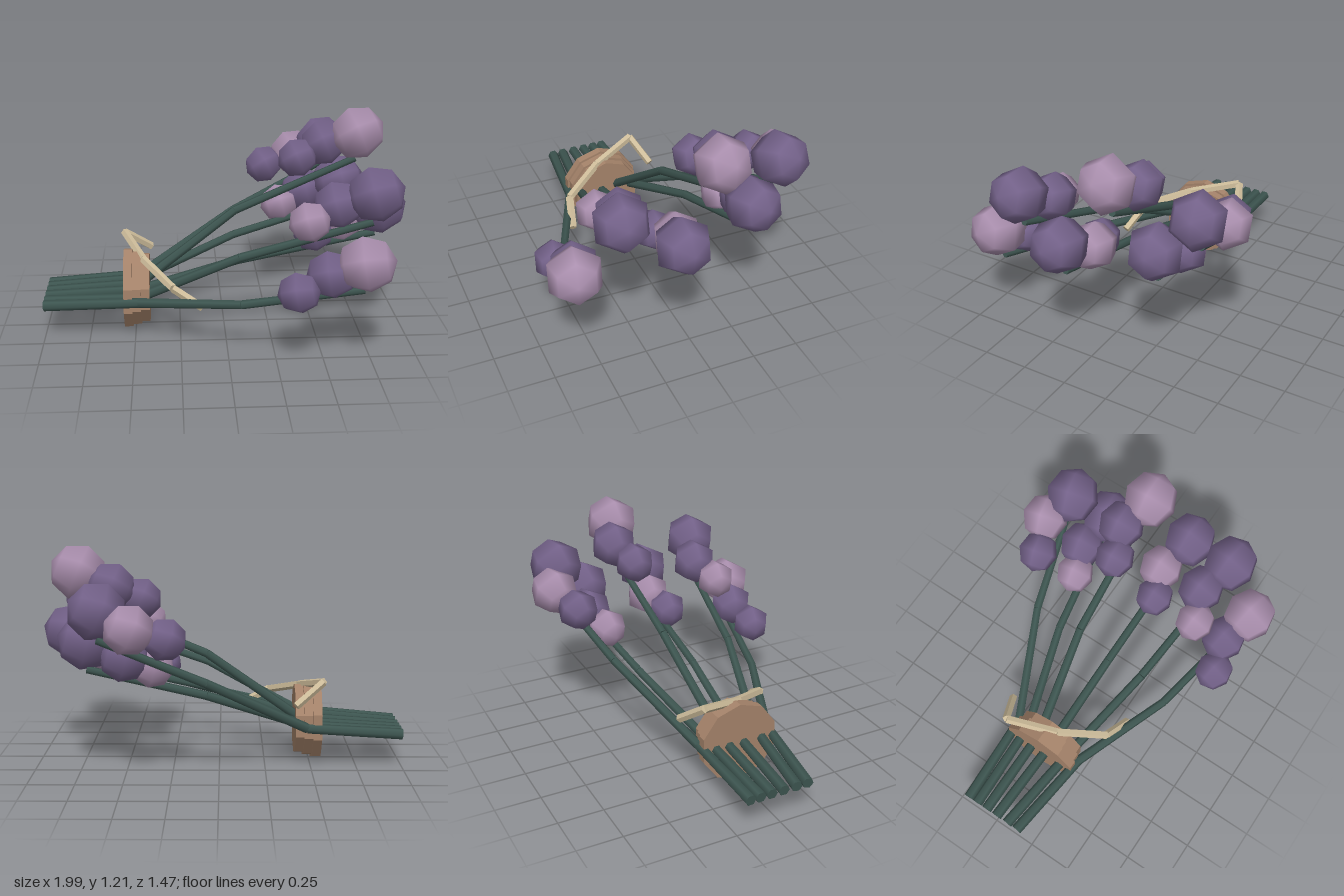
import * as THREE from 'three';

const mat = (name, color, flatShading = false) => {
  const m = new THREE.MeshStandardMaterial({ color, flatShading });
  m.name = name;
  return m;
};
const V = (p) => new THREE.Vector3(...p);

export function createModel() {
  const root = new THREE.Group();
  root.name = 'bouquet';
  const dark = mat('darkPurple', 0x74628a);
  const light = mat('lilac', 0xaa8fae);
  const green = mat('stemGreen', 0x3d5550);
  const brown = mat('wrapBrown', 0xa5836a, true);
  const cream = mat('ribbonCream', 0xcdbc9a, true);

  // Chain of tapering rods through a list of points
  function rods(name, points, r0, r1, sides, material) {
    const group = new THREE.Group();
    group.name = name;
    const n = points.length - 1;
    for (let i = 0; i < n; i++) {
      const a = V(points[i]), b = V(points[i + 1]);
      const d = b.clone().sub(a);
      const ra = r0 + (r1 - r0) * i / n, rb = r0 + (r1 - r0) * (i + 1) / n;
      const rod = new THREE.Mesh(new THREE.CylinderGeometry(rb, ra, d.length(), sides), material);
      rod.name = name + 'Segment';
      rod.position.copy(a).addScaledVector(d, 0.5);
      rod.quaternion.setFromUnitVectors(new THREE.Vector3(0, 1, 0), d.normalize());
      group.add(rod);
    }
    root.add(group);
  }

  // Six-sided flower ball with its poles along x
  const ball = new THREE.SphereGeometry(1, 6, 4).rotateZ(-Math.PI / 2);
  const radii = [0.113, 0.132, 0.153];

  // Each flower: stem points, then small, middle and large blossoms
  const flowers = [
    { stem: [[-1, 0.19, 0.155], [-0.48, 0.225, 0.225], [0.07, 0.3, 0.45], [0.69, 0.425, 0.58]],
      balls: [[0.35, 0.425, 0.6, dark], [0.52, 0.5, 0.55, dark], [0.69, 0.575, 0.605, light]] },
    { stem: [[-1, 0.19, 0.09], [-0.48, 0.225, 0.155], [0.07, 0.5, 0.285], [0.76, 0.72, 0.375]],
      balls: [[0.425, 0.73, 0.39, light], [0.58, 0.8, 0.325, dark], [0.765, 0.875, 0.39, dark]] },
    { stem: [[-1, 0.19, 0.016], [-0.48, 0.225, 0.04], [0.07, 0.4, 0.06], [0.83, 0.56, 0.08]],
      balls: [[0.49, 0.57, 0.095, dark], [0.64, 0.62, 0.04, light], [0.84, 0.71, 0.1, dark]] },
    { stem: [[-1, 0.19, -0.053], [-0.48, 0.225, -0.05], [0.07, 0.63, -0.13], [0.75, 0.92, -0.155]],
      balls: [[0.42, 0.93, -0.14, dark], [0.575, 1.0, -0.2, dark], [0.755, 1.07, -0.135, light]] },
    { stem: [[-1, 0.19, -0.117], [-0.48, 0.225, -0.13], [0.07, 0.43, -0.28], [0.69, 0.59, -0.37]],
      balls: [[0.345, 0.6, -0.355, light], [0.49, 0.66, -0.405, dark], [0.69, 0.735, -0.36, dark]] },
    { stem: [[-1, 0.19, -0.175], [-0.48, 0.225, -0.195], [0.07, 0.53, -0.43], [0.61, 0.78, -0.565]],
      balls: [[0.27, 0.78, -0.55, dark], [0.445, 0.84, -0.62, light], [0.61, 0.92, -0.545, dark]] },
  ];
  for (const { stem, balls } of flowers) {
    rods('stem', stem, 0.031, 0.02, 6, green);
    const dir = V(stem[3]).sub(V(stem[2])).normalize();
    balls.forEach(([x, y, z, material], i) => {
      const blossom = new THREE.Mesh(ball, material);
      blossom.name = 'blossom';
      blossom.position.set(x, y, z);
      blossom.scale.setScalar(radii[i]);
      blossom.quaternion.setFromUnitVectors(new THREE.Vector3(1, 0, 0), dir);
      root.add(blossom);
    });
  }

  // Stepped ten-sided wrap around the stems
  [0.225, 0.212, 0.197].forEach((r, i) => {
    const geo = new THREE.CylinderGeometry(r, r, 0.048, 10);
    geo.rotateY(Math.PI / 2).rotateZ(-Math.PI / 2);
    const ring = new THREE.Mesh(geo, brown);
    ring.name = 'wrapRing';
    ring.position.set(-0.536 + i * 0.047, 0.23, 0.01);
    root.add(ring);
  });

  // Ribbon folded over the wrap, with two loose ends
  rods('ribbon', [[-0.13, 0.235, 0.33], [-0.29, 0.335, 0.29], [-0.45, 0.415, 0.06],
    [-0.56, 0.485, -0.2], [-0.41, 0.37, -0.27]], 0.023, 0.023, 5, cream);

  return root;
}
